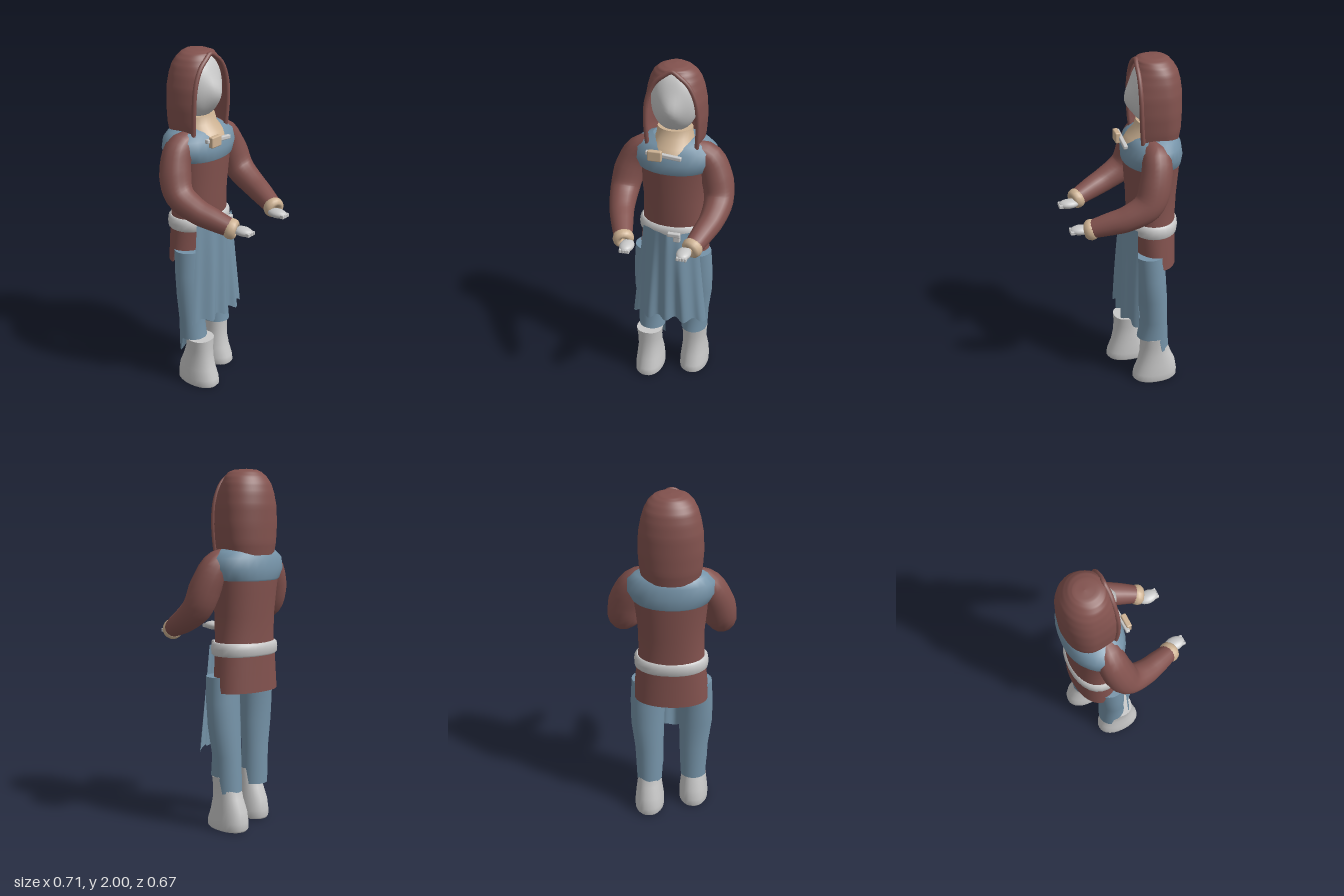
import * as THREE from 'three';
import { ParametricGeometry } from 'three/addons/geometries/ParametricGeometry.js';
import { RoundedBoxGeometry } from 'three/addons/geometries/RoundedBoxGeometry.js';

const paint = (name, color, side = THREE.FrontSide) => {
  const m = new THREE.MeshStandardMaterial({ color, side });
  m.name = name;
  return m;
};
const bend = (v, power) => Math.sign(v) * Math.abs(v) ** power;

// Stacked oval rings, bottom to top. Row: [y, centreX, radiusX, frontZ, backZ]
function loft(rows, { sides = 28, power = 1, hem = null } = {}) {
  const pos = [], idx = [];
  const ring = ([y, cx, rx, zf, zb], isHem) => {
    const start = pos.length / 3;
    for (let j = 0; j < sides; j++) {
      const a = (j / sides) * Math.PI * 2;
      const z = (zf + zb) / 2 + ((zf - zb) / 2) * bend(Math.cos(a), power);
      pos.push(cx + rx * bend(Math.sin(a), power), isHem && hem ? hem(z, y) : y, z);
    }
    return start;
  };
  const starts = rows.map((r, i) => ring(r, i === 0));
  for (let i = 0; i + 1 < rows.length; i++) {
    for (let j = 0; j < sides; j++) {
      const k = (j + 1) % sides, p = starts[i], q = starts[i + 1];
      idx.push(p + j, p + k, q + k, p + j, q + k, q + j);
    }
  }
  // End caps with their own ring, so the rim stays sharp
  [rows[0], rows[rows.length - 1]].forEach((r, end) => {
    const s = ring(r, end === 0), c = pos.length / 3;
    pos.push(r[1], r[0], (r[3] + r[4]) / 2);
    for (let j = 0; j < sides; j++) {
      const k = (j + 1) % sides;
      if (end) idx.push(c, s + j, s + k);
      else idx.push(c, s + k, s + j);
    }
  });
  const g = new THREE.BufferGeometry();
  g.setAttribute('position', new THREE.Float32BufferAttribute(pos, 3));
  g.setIndex(idx);
  g.computeVertexNormals();
  return g;
}

// Linear blend through a list of rows
function sample(rows, t) {
  const f = Math.min(Math.max(t, 0), 1) * (rows.length - 1);
  const i = Math.min(Math.floor(f), rows.length - 2);
  return rows[i].map((v, n) => v + (rows[i + 1][n] - v) * (f - i));
}

// Tube with a changing radius. Row: [x, y, z, radius]
function limb(rows, segments = 24, sides = 16) {
  const curve = new THREE.CatmullRomCurve3(rows.map(([x, y, z]) => new THREE.Vector3(x, y, z)));
  const g = new THREE.TubeGeometry(curve, segments, 1, sides);
  const p = g.attributes.position, v = new THREE.Vector3();
  for (let i = 0; i < p.count; i++) {
    const t = Math.floor(i / (sides + 1)) / segments;
    const c = curve.getPointAt(t);
    v.fromBufferAttribute(p, i).sub(c).multiplyScalar(sample(rows.map((r) => [r[3]]), t)[0]).add(c);
    p.setXYZ(i, v.x, v.y, v.z);
  }
  return g;
}

export function createModel() {
  const model = new THREE.Group();
  const red = paint('russet cloth', 0x82524e, THREE.DoubleSide);
  const blue = paint('blue cloth', 0x7593a8, THREE.DoubleSide);
  const grey = paint('pale grey', 0xc8c8c8);
  const tan = paint('tan', 0xcdb293);
  const add = (name, geometry, material, parent = model) => {
    const m = new THREE.Mesh(geometry, material);
    m.name = name;
    parent.add(m);
    return m;
  };

  // Tunic: the hem is lower at the back
  add('tunic', loft([
    [0.86, 0, 0.207, -0.055, -0.31], [0.98, 0, 0.195, -0.045, -0.305], [1.08, 0, 0.183, -0.035, -0.305],
    [1.2, 0, 0.182, -0.03, -0.31], [1.33, 0, 0.195, -0.02, -0.32], [1.42, 0, 0.21, -0.015, -0.325],
  ], { sides: 48, power: 0.95, hem: (z, y) => (z < -0.2 ? 0.78 : y) }), red);
  add('chestBand', loft([
    [1.39, 0, 0.195, -0.025, -0.32], [1.405, 0, 0.215, -0.005, -0.332], [1.46, 0, 0.247, -0.002, -0.335],
    [1.52, 0, 0.238, -0.018, -0.325], [1.555, 0, 0.195, -0.05, -0.305], [1.58, 0, 0.13, -0.09, -0.28],
  ], { power: 0.95 }), blue);
  add('belt', loft([
    [0.98, 0, 0.195, -0.04, -0.305], [0.99, 0, 0.206, -0.026, -0.315], [1.02, 0, 0.208, -0.022, -0.318],
    [1.045, 0, 0.204, -0.026, -0.315], [1.055, 0, 0.192, -0.04, -0.303],
  ], { power: 0.92 }), grey);
  add('neck', loft([
    [1.52, 0, 0.135, -0.012, -0.28], [1.55, 0, 0.125, -0.03, -0.27],
    [1.59, 0, 0.105, -0.07, -0.25], [1.635, 0, 0.1, -0.085, -0.25],
  ]), tan);

  // Face with a soft central ridge
  const face = new THREE.SphereGeometry(1, 36, 28);
  const fp = face.attributes.position;
  for (let i = 0; i < fp.count; i++) {
    const n = fp.getZ(i);
    const x = bend(fp.getX(i), 0.85) * 0.133, y = 1.797 + fp.getY(i) * 0.178;
    const ridge = n > 0 ? 0.042 * n * Math.exp(-((x / 0.06) ** 2) - ((y - 1.76) / 0.09) ** 2) : 0;
    fp.setXYZ(i, x, y, -0.17 + bend(n, 0.75) * 0.115 + ridge);
  }
  face.computeVertexNormals();
  add('face', face, grey);

  // Hood. Row: [y, radiusX, openingHalfWidth, frontZ, backZ]
  const hoodRows = [
    [1.535, 0.156, 0.14, -0.09, -0.32], [1.6, 0.168, 0.145, -0.083, -0.33], [1.7, 0.175, 0.148, -0.077, -0.333],
    [1.8, 0.17, 0.14, -0.075, -0.332], [1.87, 0.157, 0.118, -0.075, -0.322], [1.92, 0.142, 0.088, -0.075, -0.308],
    [1.957, 0.122, 0.046, -0.075, -0.285], [1.982, 0.095, 0, -0.08, -0.262],
    [1.995, 0.06, 0, -0.11, -0.24], [2.0, 0.0005, 0, -0.181, -0.182],
  ];
  const hood = new ParametricGeometry((u, v, out) => {
    const [y, rx, w, zf, zb] = sample(hoodRows, v);
    const end = Math.PI - Math.asin(w / rx);
    const a = (u * 2 - 1) * end, c = Math.cos(a);
    const mid = zf + (zb - zf) * 0.5;
    out.set(-rx * Math.sin(a), y, c > 0 ? mid + (zb - mid) * c : mid + (zf - mid) * (c / Math.cos(end)));
  }, 48, 36);
  hood.computeVertexNormals();
  add('hood', hood, red);
  const edge = hoodRows.slice(0, 8).map(([y, , w, zf]) => new THREE.Vector3(w, y, zf));
  const otherEdge = edge.slice(0, 7).reverse().map((p) => new THREE.Vector3(-p.x, p.y, p.z));
  add('hoodRim', new THREE.TubeGeometry(new THREE.CatmullRomCurve3([...edge, ...otherEdge]), 64, 0.013, 8), red);

  // Apron: gathered to a point at the belt, flatter and folded towards a wavy hem
  const apron = new ParametricGeometry((u, v, out) => {
    const s = u * 2 - 1, d = 1 - v;
    const fold = Math.cos(s * 13 + 0.4);
    out.set(s * (0.16 + 0.065 * d), 1.03 - d * (0.595 + 0.012 * fold - 0.01 * (1 - s * s)),
      0.02 - 0.078 * Math.abs(s) ** (1.2 + 2.5 * d) + fold * (0.002 + 0.01 * d));
  }, 56, 12);
  apron.computeVertexNormals();
  add('apron', apron, blue);

  // Belt clasp and chest clip
  const box = (name, w, h, d, x, y, z, mat, turn = 0) => {
    const m = add(name, new RoundedBoxGeometry(w, h, d, 2, Math.min(w, h, d) * 0.25), mat);
    m.position.set(x, y, z);
    m.rotation.z = turn;
  };
  box('claspBar', 0.075, 0.026, 0.026, 0.038, 1.032, 0.01, grey);
  box('claspTongue', 0.04, 0.05, 0.026, 0.055, 1.012, 0.006, grey);
  box('clipBar', 0.205, 0.024, 0.024, -0.027, 1.52, -0.008, grey, -0.1);
  box('clipTab', 0.08, 0.062, 0.03, -0.072, 1.522, 0.008, tan);

  for (const s of [1, -1]) {
    const side = s > 0 ? 'left' : 'right';

    // Arm, cuff and hand
    const arm = new THREE.Group();
    arm.name = side + 'Arm';
    model.add(arm);
    add('sleeve', limb([
      [s * 0.12, 1.505, -0.145, 0.07], [s * 0.195, 1.475, -0.148, 0.084], [s * 0.247, 1.38, -0.132, 0.09],
      [s * 0.274, 1.25, -0.085, 0.083], [s * 0.26, 1.175, 0.03, 0.072], [s * 0.232, 1.14, 0.12, 0.063],
      [s * 0.195, 1.1, 0.225, 0.05],
    ]), red, arm);
    const cuff = add('cuff', new THREE.TorusGeometry(0.036, 0.024, 10, 20), tan, arm);
    cuff.position.set(s * 0.196, 1.1, 0.218);
    cuff.lookAt(s * 0.158, 1.075, 0.318);
    cuff.scale.z = 1.4;
    const hand = add('hand', new THREE.SphereGeometry(1, 18, 12), grey, arm);
    hand.scale.set(0.041, 0.026, 0.06);
    hand.position.set(s * 0.161, 1.087, 0.27);
    for (let i = 0; i < 4; i++) {
      const finger = add('finger', new RoundedBoxGeometry(0.014, 0.022, 0.03, 2, 0.004), grey, arm);
      finger.position.set(s * 0.161 + (i - 1.5) * 0.015, 1.083, 0.316);
    }

    // Trouser leg and boot: the right foot is a step ahead
    const step = s > 0 ? 0 : 0.1;
    const x = s * 0.13;
    add(side + 'Trouser', loft([
      [0.3, s * 0.128, 0.08, -0.066 + step * 0.3, -0.258 + step * 0.6],
      [0.42, x, 0.083, -0.085 + step * 0.3, -0.245 + step * 0.5],
      [0.58, s * 0.138, 0.096, -0.068 + step * 0.2, -0.238 + step * 0.4],
      [0.72, s * 0.136, 0.1, -0.055 + step * 0.1, -0.228 + step * 0.2],
      [0.865, s * 0.128, 0.1, -0.045, -0.22],
    ], { hem: (z, y) => y - (z - step * 0.6 < -0.2 ? 0.09 : 0) }), blue);
    add(side + 'Boot', loft([
      [0, x, 0.078, -0.05, -0.3], [0.012, x, 0.086, -0.04, -0.31], [0.05, x, 0.086, -0.045, -0.31],
      [0.11, x, 0.08, -0.068, -0.3], [0.18, x, 0.071, -0.083, -0.27], [0.24, x, 0.072, -0.087, -0.25],
      [0.303, x, 0.079, -0.085, -0.24],
    ].map(([y, cx, rx, zf, zb]) => [y, cx, rx, zf + step, zb + step]), { power: 0.9 }), grey);
  }
  return model;
}
